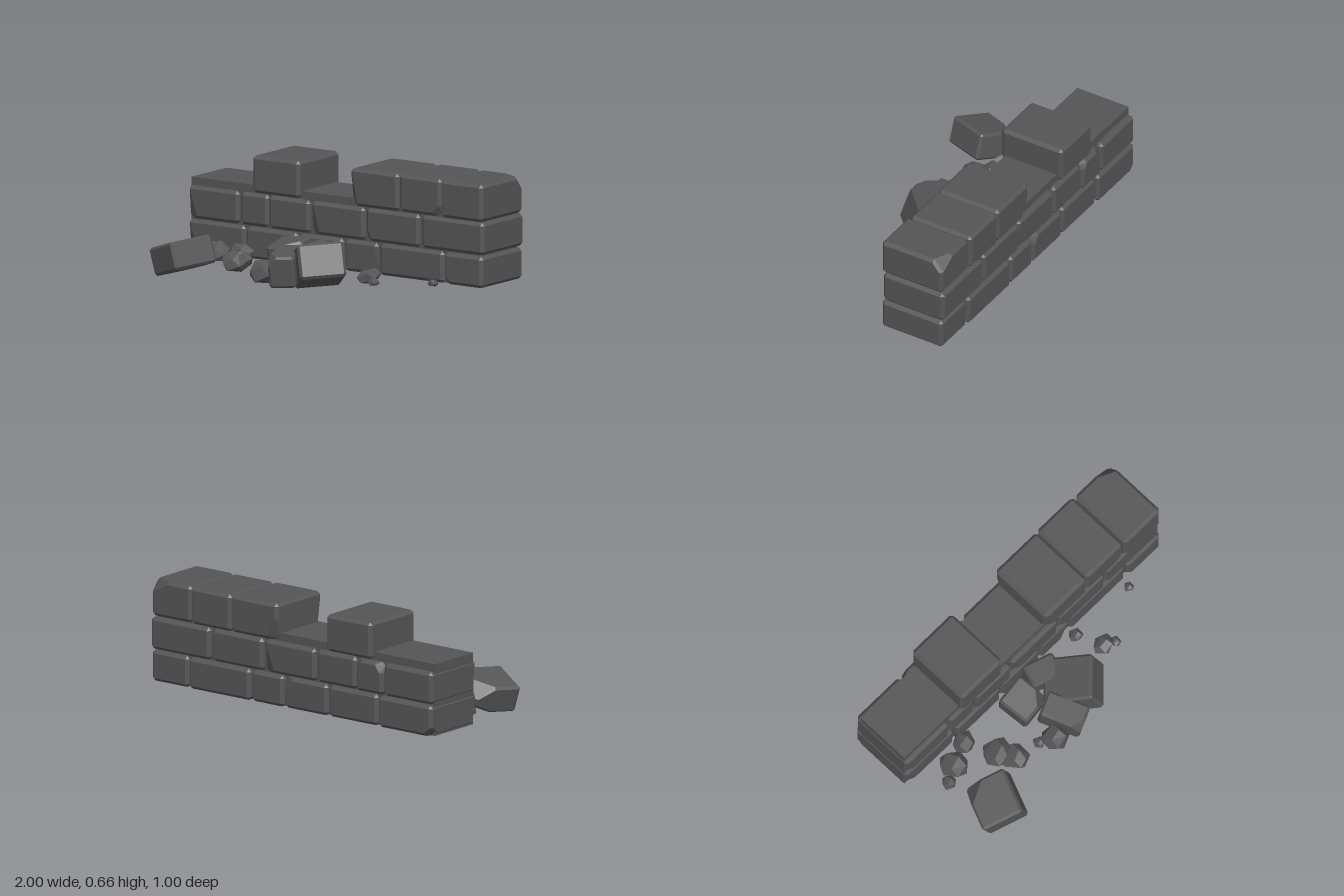
import * as THREE from 'three';
import { ConvexGeometry } from 'three/addons/geometries/ConvexGeometry.js';

const stone = new THREE.MeshStandardMaterial({ color: 0x555555, flatShading: true });

// Small seeded generator for the rock shapes
function seeded(seed) {
  let s = seed * 7919 + 17;
  return () => (s = (s * 16807) % 2147483647) / 2147483647;
}

// Bevelled stone block. A chip is [signX, signY, signZ, cutX, cutY, cutZ] for one corner.
function blockGeometry(w, h, d, bevel, chips = []) {
  const half = [w / 2, h / 2, d / 2], points = [];
  for (const sx of [-1, 1]) for (const sy of [-1, 1]) for (const sz of [-1, 1]) {
    const sign = [sx, sy, sz];
    const chip = chips.find(c => c[0] === sx && c[1] === sy && c[2] === sz);
    const add = inset => points.push(new THREE.Vector3(...sign.map((s, i) => s * (half[i] - inset[i]))));
    for (let a = 0; a < 3; a++) {
      const b = (a + 1) % 3, c = (a + 2) % 3, inset = [0, 0, 0];
      if (chip) {
        // the cut meets both sides of the bevelled edge along axis a
        inset[a] = Math.max(chip[3 + a], bevel);
        inset[b] = bevel;
        add(inset);
        inset[b] = 0;
        inset[c] = bevel;
        add(inset);
      } else {
        inset[b] = inset[c] = bevel;
        add(inset);
      }
    }
  }
  return new ConvexGeometry(points);
}

// Faceted rock with a flattened underside
function rockGeometry(rx, ry, rz, seed) {
  const rand = seeded(seed), points = [], n = 16;
  for (let i = 0; i < n; i++) {
    const y = 1 - 2 * (i + 0.5) / n, r = Math.sqrt(1 - y * y), a = i * 2.4 + rand() * 0.5;
    const k = 0.92 + rand() * 0.16;
    points.push(new THREE.Vector3(Math.cos(a) * r * rx * k, Math.max(y * k, -0.6) * ry, Math.sin(a) * r * rz * k));
  }
  return new ConvexGeometry(points);
}

export function createModel() {
  const model = new THREE.Group();
  const wall = new THREE.Group();
  wall.name = 'wall';
  const rubble = new THREE.Group();
  rubble.name = 'rubble';
  model.add(wall, rubble);

  const add = (parent, name, geometry, x, y, z) => {
    const mesh = new THREE.Mesh(geometry, stone);
    mesh.name = name;
    mesh.position.set(x, y, z);
    parent.add(mesh);
    return mesh;
  };

  // Mortar core, recessed behind the brick faces
  add(wall, 'mortarCore', new THREE.BoxGeometry(1.975, 0.41, 0.335), -0.0075, 0.295, -0.295);

  // Courses of bricks: [x start, x end, chips]
  const courses = [
    { name: 'bottomBrick', y0: 0.088, y1: 0.265, bricks: [
      [-1, -0.62, [[-1, -1, 1, 0.07, 0.14, 0.03], [-1, -1, -1, 0.05, 0.05, 0.06]]],
      [-0.605, -0.26],
      [-0.25, 0.05, [[1, 1, -1, 0.05, 0.06, 0.03]]],
      [0.06, 0.285, [[1, -1, 1, 0.07, 0.15, 0.03]]],
      [0.295, 0.73],
      [0.74, 1, [[-1, -1, 1, 0.04, 0.04, 0.03]]]] },
    { name: 'middleBrick', y0: 0.272, y1: 0.455, bricks: [
      [-1, -0.66, [[-1, -1, 1, 0.06, 0.15, 0.03]]],
      [-0.65, -0.46, [[-1, 1, -1, 0.05, 0.06, 0.03], [1, 1, -1, 0.04, 0.05, 0.03]]],
      [-0.453, -0.175],
      [-0.165, 0.195, [[-1, -1, 1, 0.06, 0.16, 0.03], [1, -1, -1, 0.07, 0.15, 0.03]]],
      [0.205, 0.567, [[-1, -1, 1, 0.04, 0.06, 0.03]]],
      [0.58, 1]] },
    { name: 'topBrick', y0: 0.46, y1: 0.67, bricks: [
      [-0.565, -0.245],
      [0.1, 0.425, [[-1, -1, 1, 0.05, 0.16, 0.04], [-1, -1, -1, 0.08, 0.12, 0.04]]],
      [0.43, 0.713, [[1, -1, 1, 0.06, 0.06, 0.03]]],
      [0.72, 1, [[1, 1, -1, 0.11, 0.07, 0.06]]]] },
  ];
  courses.forEach(({ name, y0, y1, bricks }, row) => bricks.forEach(([x0, x1, chips], i) => {
    const shift = ((i * 3 + row) % 4 - 1.5) * 0.003; // slightly uneven faces
    add(wall, name, blockGeometry(x1 - x0, y1 - y0, 0.396, 0.018, chips), (x0 + x1) / 2, (y0 + y1) / 2, -0.299 + shift);
  }));

  // Fallen blocks: size, position, rotation (applied yaw first), chips
  const fallen = [
    [[0.25, 0.16, 0.27], [-0.73, 0.155, 0.325], [0.08, -0.38, 0.3], [[-1, 1, -1, 0.11, 0.07, 0.11], [-1, -1, -1, 0.11, 0.05, 0.11]]],
    [[0.26, 0.2, 0.29], [0.065, 0.16, 0.145], [-0.36, 0.75, 0.06], [[1, 1, -1, 0.06, 0.05, 0.06]]],
    [[0.15, 0.18, 0.25], [-0.1, 0.145, 0.23], [0.12, 0.42, 0.06], [[-1, 1, 1, 0.05, 0.06, 0.06]]],
    [[0.19, 0.18, 0.2], [-0.21, 0.16, 0.02], [0.15, 0.12, 0.12], [[1, 1, 1, 0.08, 0.08, 0.08]]],
    [[0.19, 0.15, 0.14], [-0.02, 0.165, -0.02], [0.1, -0.3, -0.1], [[1, 1, 1, 0.05, 0.05, 0.05]]],
  ];
  for (const [size, position, rotation, chips] of fallen) {
    const block = add(rubble, 'fallenBlock', blockGeometry(...size, 0.014, chips), ...position);
    block.rotation.set(...rotation, 'YXZ');
  }

  // Loose rocks: x, base height, z, radii
  const rocks = [
    [-0.73, 0.08, 0.0, 0.085, 0.07, 0.085], [-0.82, 0.08, 0.05, 0.045, 0.04, 0.045],
    [-0.6, 0.08, -0.055, 0.075, 0.065, 0.065], [-0.51, 0.08, 0.12, 0.09, 0.06, 0.085],
    [-0.46, 0.08, 0.205, 0.08, 0.065, 0.085], [-0.22, 0.05, 0.28, 0.08, 0.09, 0.08],
    [-0.3, 0.07, 0.235, 0.035, 0.03, 0.035], [0.355, 0.08, 0.09, 0.065, 0.05, 0.055],
    [0.42, 0.08, 0.12, 0.033, 0.025, 0.033], [0.29, 0.08, -0.06, 0.045, 0.035, 0.04],
    [0.7, 0.08, -0.05, 0.03, 0.025, 0.03],
  ];
  rocks.forEach(([x, base, z, rx, ry, rz], i) =>
    add(rubble, 'looseRock', rockGeometry(rx, ry, rz, i + 1), x, base + 0.6 * ry, z));

  return model;
}
